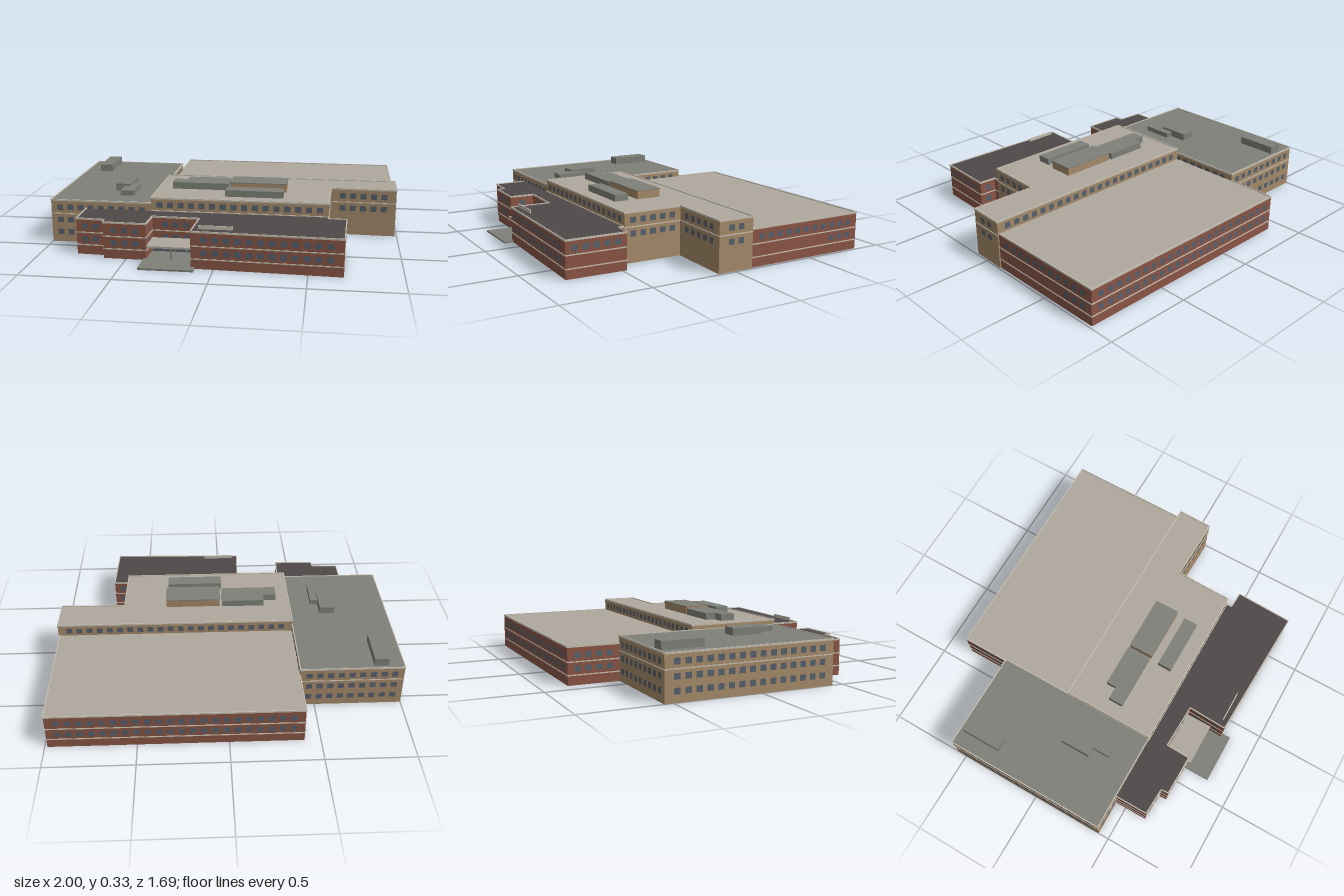
import * as THREE from 'three';
import { mergeGeometries } from 'three/addons/utils/BufferGeometryUtils.js';

const mat = (name, color) => {
  const m = new THREE.MeshStandardMaterial({ color, side: THREE.DoubleSide });
  m.name = name;
  return m;
};

export function createModel() {
  const M = {
    brick: mat('red brick', 0x8a5545),
    tan: mat('tan brick', 0xa58a6a),
    paleRoof: mat('pale roof', 0xaea89e),
    greyRoof: mat('grey roof', 0x7e8078),
    darkRoof: mat('dark roof', 0x4e4948),
    glass: mat('window glass', 0x56606c),
    trim: mat('pale trim', 0xc4bcae),
  };
  const model = new THREE.Group();
  model.name = 'building';

  const add = (parent, name, geometry, material) => {
    const mesh = new THREE.Mesh(geometry, material);
    mesh.name = name;
    parent.add(mesh);
    return mesh;
  };
  const box = (parent, name, x0, x1, y0, y1, z0, z1, material) =>
    add(parent, name, new THREE.BoxGeometry(x1 - x0, y1 - y0, z1 - z0)
      .translate((x0 + x1) / 2, (y0 + y1) / 2, (z0 + z1) / 2), material);

  // Wall from a to b (left to right seen from outside), with windows and string courses.
  // Each row is [height, first window to use].
  function wall(parent, name, a, b, y0, y1, material, rows = [], bands = []) {
    const dx = b[0] - a[0], dz = b[1] - a[1], len = Math.hypot(dx, dz);
    const g = new THREE.Group();
    g.name = name;
    g.position.set(a[0], 0, a[1]);
    g.rotation.y = Math.atan2(-dz, dx);
    parent.add(g);
    add(g, 'wallFace', new THREE.PlaneGeometry(len, y1 - y0).translate(len / 2, (y0 + y1) / 2, 0), material);
    const pitch = 0.0605, n = Math.floor((len - 0.03) / pitch), panes = [];
    for (const [y, first] of rows) {
      for (let i = first; i < n; i++) {
        panes.push(new THREE.PlaneGeometry(0.035, 0.033)
          .translate(len / 2 + (i - (n - 1) / 2) * pitch, y, 0.002));
      }
    }
    if (panes.length) add(g, 'windows', mergeGeometries(panes), M.glass);
    const strips = bands.map((y) => new THREE.BoxGeometry(len, 0.006, 0.004).translate(len / 2, y, 0.001));
    strips.push(new THREE.BoxGeometry(len, 0.01, 0.006).translate(len / 2, y1 - 0.005, 0));
    add(g, 'trim', mergeGeometries(strips), M.trim);
  }

  const roof = (parent, name, points, y, material) => {
    const shape = new THREE.Shape(points.map(([x, z]) => new THREE.Vector2(x, -z)));
    add(parent, name, new THREE.ShapeGeometry(shape).rotateX(-Math.PI / 2).translate(0, y, 0), material);
  };
  const block = (name) => {
    const g = new THREE.Group();
    g.name = name;
    model.add(g);
    return g;
  };
  const full = (...ys) => ys.map((y) => [y, 0]);

  // West wing: three storeys of tan brick
  const west = block('westWing');
  const westPlan = [[-1, -0.55], [-1, 0.435], [-0.41, 0.435], [-0.41, -0.55]];
  const westRows = [full(0.06, 0.133, 0.208), full(0.06, 0.133, 0.208), full(0.213), full(0.06, 0.133, 0.208)];
  westPlan.forEach((p, i) => wall(west, 'westWall', p, westPlan[(i + 1) % 4], 0, 0.255, M.tan,
    westRows[i], [0.17]));
  roof(west, 'westRoof', westPlan, 0.25, M.greyRoof);

  // Central block: the tallest, with an arm to the east
  const centre = block('centralBlock');
  const c = [[-0.41, 0.435], [0.597, 0.435], [0.605, 0.09], [0.988, 0.1], [0.992, -0.11], [-0.41, -0.11]];
  wall(centre, 'centreFront', c[0], c[1], 0.2, 0.285, M.tan, full(0.242));
  for (let i = 1; i < 4; i++) {
    wall(centre, 'centreSide', c[i], c[i + 1], 0, 0.285, M.tan, full(0.163, 0.238), [0.2]);
  }
  wall(centre, 'centreBack', c[4], c[5], 0, 0.285, M.tan, full(0.09, 0.163, 0.242));
  wall(centre, 'centreLeft', c[5], c[0], 0.24, 0.285, M.tan);
  roof(centre, 'centreRoof', c, 0.28, M.paleRoof);

  // Rear block: long red brick hall
  const rear = block('rearBlock');
  const r = [[0.985, -0.11], [0.985, -0.845], [-0.41, -0.845], [-0.41, -0.55]];
  wall(rear, 'rearRight', r[0], r[1], 0, 0.215, M.brick, [[0.163, 0], [0.09, 8]], [0.055, 0.127]);
  wall(rear, 'rearBack', r[1], r[2], 0, 0.215, M.brick, full(0.09, 0.163), [0.055, 0.127]);
  wall(rear, 'rearLeft', r[2], r[3], 0, 0.215, M.brick, full(0.09, 0.163), [0.055, 0.127]);
  roof(rear, 'rearRoof', [r[0], r[1], r[2], [-0.41, -0.11]], 0.21, M.paleRoof);

  // Front block: stepped red brick with an entrance recess
  const front = block('frontBlock');
  const f = [[-0.79, 0.437], [-0.79, 0.632], [-0.628, 0.64], [-0.625, 0.685], [-0.385, 0.69], [-0.38, 0.545],
    [-0.112, 0.555], [-0.122, 0.79], [0.685, 0.82], [0.697, 0.475], [0.595, 0.47], [0.595, 0.437], [-0.41, 0.437]];
  for (let i = 0; i < f.length - 1; i++) {
    const rows = i === 8 || i === 0 ? full(0.163) : full(0.09, 0.163);
    wall(front, 'frontWall', f[i], f[i + 1], 0, 0.21, M.brick, rows, [0.055, 0.127]);
  }
  roof(front, 'frontRoof', f, 0.205, M.darkRoof);

  // Entrance: glazing, canopy, post and paved slab
  const entrance = block('entrance');
  box(entrance, 'entranceGlass', -0.375, -0.12, 0.008, 0.076, 0.556, 0.564, M.glass);
  for (const x of [-0.31, -0.247, -0.185]) {
    box(entrance, 'mullion', x - 0.002, x + 0.002, 0.008, 0.076, 0.564, 0.567, M.greyRoof);
  }
  box(entrance, 'canopy', -0.38, -0.12, 0.076, 0.087, 0.552, 0.71, M.paleRoof);
  box(entrance, 'canopyPost', -0.252, -0.244, 0.008, 0.076, 0.69, 0.698, M.greyRoof);
  box(entrance, 'entranceSlab', -0.4, -0.1, 0, 0.01, 0.557, 0.845, M.greyRoof);

  // Thin panel standing on the front roof
  box(model, 'roofPanel', -0.085, 0.1, 0.213, 0.233, 0.757, 0.763, M.trim);

  // Rooftop plant housings: x0, x1, top, z0, z1, base
  const units = [
    [-0.91, -0.83, 0.295, -0.525, -0.285, 0.25],
    [-0.68, -0.59, 0.293, 0.005, 0.185, 0.25],
    [-0.625, -0.545, 0.28, 0.11, 0.29, 0.25],
    [-0.25, 0.005, 0.319, 0.063, 0.208, 0.28],
    [-0.328, -0.25, 0.319, 0.122, 0.208, 0.28],
    [0.005, 0.337, 0.318, 0.267, 0.35, 0.28],
  ];
  for (const [x0, x1, y, z0, z1, base] of units) box(model, 'roofUnit', x0, x1, base, y, z0, z1, M.greyRoof);
  box(model, 'penthouse', 0.02, 0.347, 0.28, 0.325, 0.067, 0.213, M.tan);
  box(model, 'penthouseRoof', 0.018, 0.349, 0.325, 0.33, 0.065, 0.215, M.greyRoof);

  return model;
}
